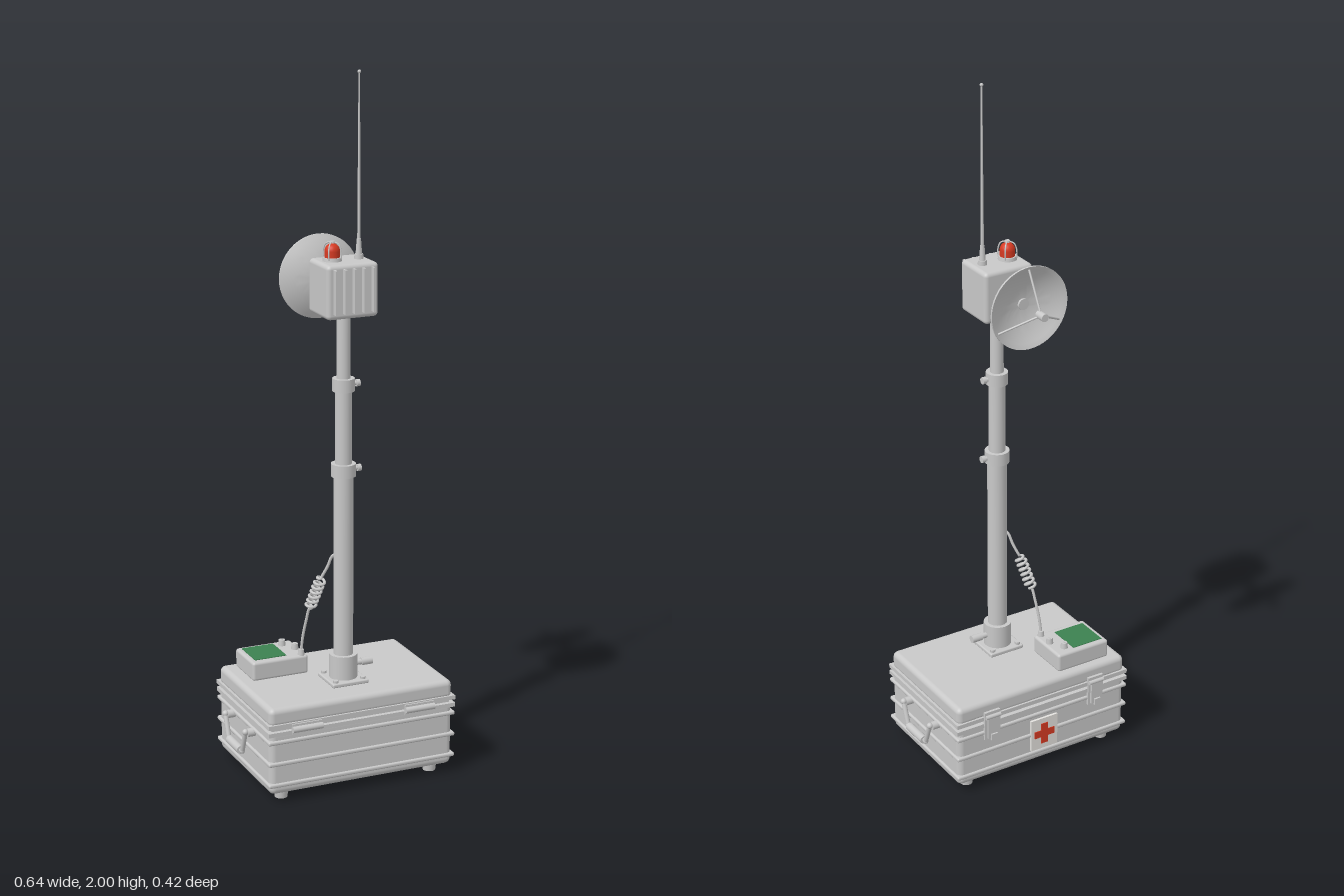
import * as THREE from 'three';
import { toCreasedNormals } from 'three/addons/utils/BufferGeometryUtils.js';
import { RoundedBoxGeometry } from 'three/addons/geometries/RoundedBoxGeometry.js';

const material = (name, color) => Object.assign(new THREE.MeshStandardMaterial({ color }), { name });
const V = (x, y, z) => new THREE.Vector3(x, y, z);

export function createModel() {
  const model = new THREE.Group();
  model.name = 'fieldRelayStation';
  const grey = material('light grey', 0xc8c8c8);
  const white = material('white', 0xe4e2de);
  const red = material('signal red', 0xd63a22);
  const green = material('panel green', 0x3c8150);

  const group = (name) => {
    const g = new THREE.Group();
    g.name = name;
    model.add(g);
    return g;
  };
  const add = (parent, name, geometry, mat, x = 0, y = 0, z = 0) => {
    const m = new THREE.Mesh(geometry, mat);
    m.name = name;
    m.position.set(x, y, z);
    parent.add(m);
    return m;
  };
  const box = (p, name, w, h, d, x, y, z, mat = grey) => add(p, name, new THREE.BoxGeometry(w, h, d), mat, x, y, z);
  const rounded = (p, name, w, h, d, r, x, y, z) => add(p, name, new RoundedBoxGeometry(w, h, d, 3, r), grey, x, y, z);
  // Cylinder from point a to point b
  const rod = (p, name, a, b, r0, r1 = r0, sides = 20, mat = grey) => {
    const dir = b.clone().sub(a);
    const m = add(p, name, new THREE.CylinderGeometry(r1, r0, dir.length(), sides), mat);
    m.position.copy(a).add(b).multiplyScalar(0.5);
    m.quaternion.setFromUnitVectors(V(0, 1, 0), dir.normalize());
    return m;
  };
  const column = (p, name, x, z, y0, y1, r0, r1, sides) => rod(p, name, V(x, y0, z), V(x, y1, z), r0, r1, sides);

  // Equipment case
  const kit = group('case');
  rounded(kit, 'caseBody', 0.56, 0.19, 0.38, 0.018, 0, 0.12, 0);
  rounded(kit, 'lid', 0.56, 0.055, 0.38, 0.016, 0, 0.2525, 0);
  box(kit, 'seal', 0.545, 0.04, 0.365, 0, 0.22, 0);
  for (const y of [0.055, 0.118, 0.182]) rounded(kit, 'rib', 0.572, 0.012, 0.392, 0.005, 0, y, 0);
  for (const y of [0.207, 0.229]) box(kit, 'rim', 0.572, 0.012, 0.39, 0, y, 0);
  for (const x of [-0.23, 0.23]) for (const z of [-0.145, 0.145]) column(kit, 'foot', x, z, 0, 0.032, 0.018, 0.022, 24);

  for (const s of [-1, 1]) {
    // Hinges on the front
    rod(kit, 'hinge', V(s * 0.172 - 0.045, 0.217, 0.201), V(s * 0.172 + 0.045, 0.217, 0.201), 0.009);
    box(kit, 'hingeLeaf', 0.09, 0.03, 0.006, s * 0.172, 0.217, 0.196);
    // Latches on the back
    const lx = s * 0.174;
    box(kit, 'latchPlate', 0.05, 0.09, 0.008, lx, 0.205, -0.196);
    box(kit, 'latchLever', 0.036, 0.068, 0.009, lx, 0.2, -0.203);
    rod(kit, 'latchPin', V(lx - 0.024, 0.236, -0.203), V(lx + 0.024, 0.236, -0.203), 0.006);
    box(kit, 'latchTab', 0.02, 0.02, 0.008, lx, 0.172, -0.209);
    // Folding side handles
    const grip = new THREE.Group();
    grip.name = 'handle';
    kit.add(grip);
    for (const t of [-1, 1]) {
      rod(grip, 'handlePivot', V(s * 0.278, 0.175, t * 0.075), V(s * 0.302, 0.175, t * 0.075), 0.012);
      rod(grip, 'handleArm', V(s * 0.307, 0.178, t * 0.075), V(s * 0.307, 0.112, t * 0.05), 0.007);
      add(grip, 'handleJoint', new THREE.SphereGeometry(0.009, 16, 10), grey, s * 0.307, 0.178, t * 0.075);
      add(grip, 'handleCorner', new THREE.SphereGeometry(0.008, 16, 10), grey, s * 0.307, 0.112, t * 0.05);
    }
    rod(grip, 'handleBar', V(s * 0.307, 0.112, -0.05), V(s * 0.307, 0.112, 0.05), 0.007);
    rod(grip, 'handleGrip', V(s * 0.308, 0.112, -0.042), V(s * 0.308, 0.112, 0.042), 0.012);
  }

  // Cross plate on the back
  box(kit, 'crossPlate', 0.088, 0.1, 0.007, 0, 0.118, -0.196, white);
  box(kit, 'crossUpright', 0.022, 0.066, 0.003, 0, 0.118, -0.2, red);
  for (const s of [-1, 1]) box(kit, 'crossArm', 0.022, 0.022, 0.003, s * 0.022, 0.118, -0.2, red);

  // Control box on the lid
  const control = group('controlBox');
  rounded(control, 'controlHousing', 0.17, 0.056, 0.135, 0.008, -0.154, 0.306, -0.098);
  box(control, 'screen', 0.096, 0.003, 0.1, -0.177, 0.3345, -0.1, green);
  for (const [x, z] of [[-0.108, -0.133], [-0.086, -0.09]]) {
    column(control, 'knob', x, z, 0.332, 0.351, 0.011, 0.009, 20);
    box(control, 'knobMark', 0.003, 0.002, 0.008, x, 0.3515, z);
  }
  column(control, 'cablePlug', -0.087, -0.042, 0.332, 0.35, 0.01, 0.008, 20);

  // Coiled cable rising from the control box to the mast
  const coilStart = V(-0.074, 0.48, -0.012), coilEnd = V(-0.052, 0.58, 0.022);
  const axis = coilEnd.clone().sub(coilStart).normalize();
  const side = V(1, 0, 0).cross(axis).normalize(), across = axis.clone().cross(side);
  const path = [V(-0.087, 0.345, -0.042), V(-0.084, 0.39, -0.036), V(-0.079, 0.44, -0.024)];
  const turns = 7, steps = turns * 12;
  for (let i = 0; i <= steps; i++) {
    const a = (i / 12) * Math.PI * 2;
    const r = 0.014 * Math.min(1, i / 6, (steps - i) / 6);
    path.push(coilStart.clone().lerp(coilEnd, i / steps)
      .addScaledVector(side, r * Math.cos(a)).addScaledVector(across, r * Math.sin(a)));
  }
  path.push(V(-0.038, 0.615, 0.034), V(-0.03, 0.645, 0.044), V(-0.024, 0.655, 0.052));
  add(control, 'coiledCable', new THREE.TubeGeometry(new THREE.CatmullRomCurve3(path), 420, 0.0042, 8), grey);

  // Telescopic mast
  const mast = group('mast');
  const mz = 0.057;
  rounded(mast, 'mastBase', 0.11, 0.012, 0.11, 0.004, 0, 0.285, mz);
  for (const x of [-0.042, 0.042]) for (const z of [-0.042, 0.042]) column(mast, 'baseBolt', x, mz + z, 0.289, 0.298, 0.008, 0.008, 6);
  column(mast, 'baseSocket', 0, mz, 0.285, 0.36, 0.04, 0.04, 32);
  rod(mast, 'lockShaft', V(0.035, 0.325, mz), V(0.07, 0.325, mz), 0.008);
  rod(mast, 'lockKnob', V(0.055, 0.325, mz), V(0.088, 0.325, mz), 0.011);
  column(mast, 'lowerTube', 0, mz, 0.3, 0.9, 0.028, 0.028, 32);
  column(mast, 'middleTube', 0, mz, 0.88, 1.145, 0.0235, 0.0235, 32);
  column(mast, 'upperTube', 0, mz, 1.12, 1.35, 0.019, 0.019, 32);
  for (const [y, r] of [[0.9, 0.035], [1.143, 0.031]]) {
    column(mast, 'clampCollar', 0, mz, y - 0.018, y + 0.018, r, r, 32);
    rod(mast, 'clampScrew', V(r - 0.005, y, mz), V(r + 0.012, y, mz), 0.006);
    rod(mast, 'clampKnob', V(r + 0.006, y, mz), V(r + 0.017, y, mz), 0.01);
  }

  // Radio head with cooling fins
  const head = group('radioHead');
  rounded(head, 'headHousing', 0.152, 0.15, 0.13, 0.012, 0, 1.415, 0.056);
  for (let i = -2; i <= 2; i++) box(head, 'coolingFin', 0.006, 0.122, 0.02, i * 0.028, 1.418, 0.127);

  // Warning beacon under a wire guard
  const bx = -0.033, bz = 0.055;
  column(head, 'beaconBase', bx, bz, 1.487, 1.5, 0.027, 0.025, 28);
  rod(head, 'beaconLens', V(bx, 1.498, bz), V(bx, 1.517, bz), 0.021, 0.021, 28, red);
  add(head, 'beaconDome', new THREE.SphereGeometry(0.021, 28, 12, 0, Math.PI * 2, 0, Math.PI / 2), red, bx, 1.517, bz);
  for (let i = 0; i < 4; i++) {
    const a = Math.PI / 4 + i * Math.PI / 2, c = Math.cos(a), s = Math.sin(a);
    const wire = [[0.026, 1.495], [0.026, 1.518], [0.019, 1.536], [0.004, 1.542]].map(([r, y]) => V(bx + c * r, y, bz + s * r));
    add(head, 'guardWire', new THREE.TubeGeometry(new THREE.CatmullRomCurve3(wire), 14, 0.002, 8), grey);
  }
  column(head, 'guardCap', bx, bz, 1.539, 1.544, 0.008, 0.007, 16);

  // Whip antenna
  const whip = group('antenna');
  column(whip, 'antennaBase', 0.045, mz, 1.487, 1.503, 0.013, 0.012, 20);
  column(whip, 'antennaSpring', 0.045, mz, 1.503, 1.545, 0.009, 0.006, 20);
  column(whip, 'antennaRod', 0.045, mz, 1.54, 1.994, 0.0045, 0.0022, 12);
  add(whip, 'antennaTip', new THREE.SphereGeometry(0.005, 14, 10), grey, 0.045, 1.995, mz);

  // Dish facing backwards, with feed horn on three struts
  const dish = group('dish');
  const dy = 1.413;
  const outer = [], inner = [];
  for (let i = 0; i <= 10; i++) {
    const r = 0.119 * i / 10, k = (i / 10) ** 2;
    outer.push(new THREE.Vector2(r, 0.07 + 0.036 * k));
    inner.unshift(new THREE.Vector2(r * 0.98, 0.075 + 0.036 * k));
  }
  const bowl = new THREE.LatheGeometry([...outer, new THREE.Vector2(0.119, 0.112), ...inner], 48);
  bowl.rotateX(-Math.PI / 2);
  add(dish, 'reflector', toCreasedNormals(bowl, 0.6), grey, 0, dy, 0);
  rod(dish, 'dishArm', V(0, dy, 0), V(0, dy, -0.066), 0.013);
  rod(dish, 'dishMount', V(0, dy, -0.058), V(0, dy, -0.074), 0.017);
  rod(dish, 'dishHub', V(0, dy, -0.072), V(0, dy, -0.082), 0.016);
  rod(dish, 'feedHorn', V(0, dy, -0.156), V(0, dy, -0.188), 0.011);
  for (let i = 0; i < 3; i++) {
    const a = Math.PI / 2 + i * Math.PI * 2 / 3, c = Math.cos(a), s = Math.sin(a);
    rod(dish, 'feedStrut', V(c * 0.11, dy + s * 0.11, -0.107), V(c * 0.008, dy + s * 0.008, -0.163), 0.003, 0.003, 10);
  }
  return model;
}
